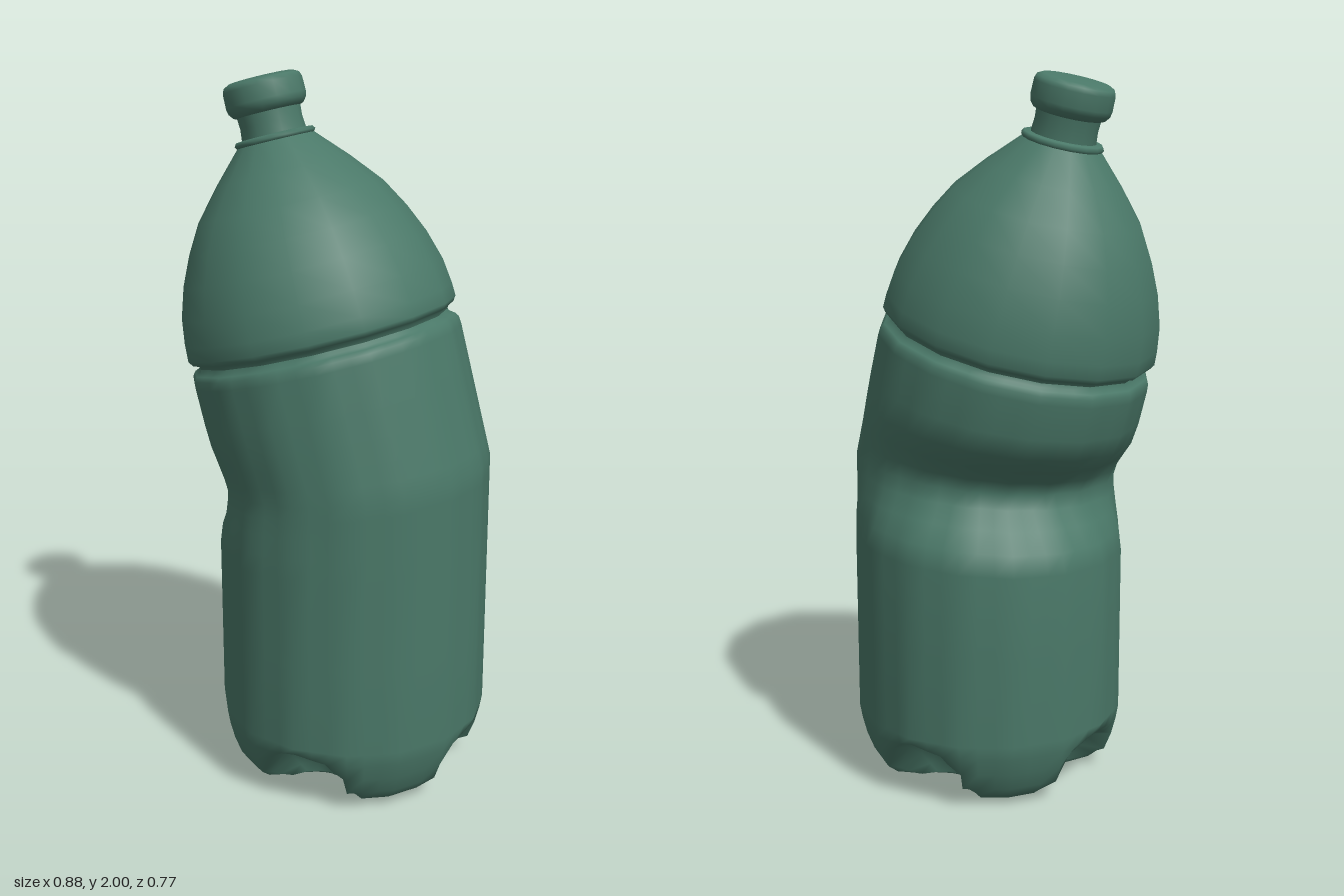
import * as THREE from 'three';

const SIDES = 16, COLS = 48;
const TILT = THREE.MathUtils.degToRad(14.8);
const BEND = new THREE.Vector3(0.05, 0.907, 0); // where the bottle axis kinks
const MITRE = Math.tan(TILT / 2);
const material = new THREE.MeshStandardMaterial({ color: 0x4a7868, side: THREE.DoubleSide });

// radius factor that turns a circle into a 16-sided outline
function polygon(a) {
  const step = (2 * Math.PI) / SIDES;
  const m = ((a % step) + step) % step;
  return Math.cos(step / 2) / Math.cos(m - step / 2);
}

// crumple depth: strongest at the back right, zero away from the kink
function dent(a, v) {
  const t = Math.abs(v - BEND.y) / 0.2;
  if (t >= 1) return 0;
  const side = Math.max(0, Math.cos(a) * -0.6 + Math.sin(a) * -0.8);
  const inner = Math.max(0, 0.3 - Math.cos(a)) / 1.3;
  return (0.095 * side + 0.022 * inner) * (0.5 + 0.5 * Math.cos(Math.PI * t));
}

// four scooped hollows between the feet
function scoop(p) {
  const a = Math.atan2(p.z, p.x);
  const axis = Math.round(a / (Math.PI / 2)) * (Math.PI / 2);
  const r = Math.hypot(p.x, p.z);
  const u = r * Math.sin(a - axis), d = r * Math.cos(a - axis);
  const room = 1 - (u / 0.15) ** 2;
  if (room <= 0) return;
  const dd = d - 0.4, dy = p.y + 0.01;
  const q = (dd / 0.25) ** 2 + (dy / 0.19) ** 2;
  if (q >= room) return;
  const k = Math.sqrt(room / q);
  const nd = 0.4 + dd * k;
  p.set(nd * Math.cos(axis) - u * Math.sin(axis), dy * k - 0.01,
    nd * Math.sin(axis) + u * Math.cos(axis));
}

// body: rings of [radius, distance along the axis], bent at the kink
function bodyGeometry() {
  const rings = [
    [0, 0.05], [0.06, 0.045], [0.1, 0.02], [0.13, 0.008], [0.19, 0], [0.25, 0],
    [0.3, 0.014], [0.325, 0.032], [0.345, 0.06], [0.365, 0.11], [0.378, 0.16], [0.385, 0.2],
    [0.385, 0.45], [0.385, 0.7], [0.385, 0.76], [0.385, 0.815], [0.385, 0.865], [0.385, 0.907],
    [0.385, 0.95], [0.385, 1.0], [0.385, 1.06], [0.385, 1.13], [0.385, 1.24],
    [0.383, 1.262], [0.374, 1.274], [0.36, 1.28], [0.355, 1.3],
  ];
  const pos = [], index = [];
  const p = new THREE.Vector3(), zAxis = new THREE.Vector3(0, 0, 1);
  rings.forEach(([r, v], i) => {
    for (let j = 0; j < COLS; j++) {
      const a = (j / COLS) * 2 * Math.PI;
      const rad = r * polygon(a) - dent(a, v);
      p.set(rad * Math.cos(a), v, rad * Math.sin(a));
      if (v < 0.21) scoop(p);
      const s = v - BEND.y;
      const w = Math.max(0, 1 - Math.abs(s) / (s < 0 ? 0.45 : 0.33));
      if (s <= 0) {
        p.y += w * MITRE * p.x;
        p.x += BEND.x;
      } else {
        p.y = s - w * MITRE * p.x;
        p.applyAxisAngle(zAxis, TILT).add(BEND);
      }
      pos.push(p.x, p.y, p.z);
      if (i === rings.length - 1) continue;
      const n = (j + 1) % COLS, b = i * COLS, t = b + COLS;
      index.push(b + j, t + j, b + n, b + n, t + j, t + n);
    }
  });
  const g = new THREE.BufferGeometry();
  g.setAttribute('position', new THREE.Float32BufferAttribute(pos, 3));
  g.setIndex(index);
  g.computeVertexNormals();
  return g;
}

function lathe(name, points) {
  const g = new THREE.LatheGeometry(points.map(([x, y]) => new THREE.Vector2(x, y)), SIDES);
  const mesh = new THREE.Mesh(g, material);
  mesh.name = name;
  return mesh;
}

export function createModel() {
  const model = new THREE.Group();
  model.name = 'bentBottle';

  const body = new THREE.Mesh(bodyGeometry(), material);
  body.name = 'body';
  model.add(body);

  // everything above the groove leans with the upper axis
  const top = new THREE.Group();
  top.name = 'leaningTop';
  top.position.copy(BEND);
  top.rotation.z = TILT;
  top.add(
    lathe('shoulder', [[0.355, 0.375], [0.36, 0.392], [0.377, 0.399], [0.386, 0.413], [0.384, 0.45],
      [0.374, 0.52], [0.347, 0.605], [0.31, 0.685], [0.263, 0.765], [0.19, 0.85], [0.105, 0.938], [0.09, 0.945]]),
    lathe('collar', [[0.085, 0.932], [0.108, 0.934], [0.114, 0.942], [0.108, 0.951], [0.085, 0.953]]),
    lathe('neck', [[0.09, 0.93], [0.09, 0.955], [0.087, 0.985], [0.09, 1.03]]),
    lathe('cap', [[0.085, 1.012], [0.098, 1.016], [0.109, 1.03], [0.112, 1.045], [0.111, 1.085],
      [0.106, 1.098], [0.09, 1.106], [0, 1.107]]),
  );
  model.add(top);
  return model;
}
